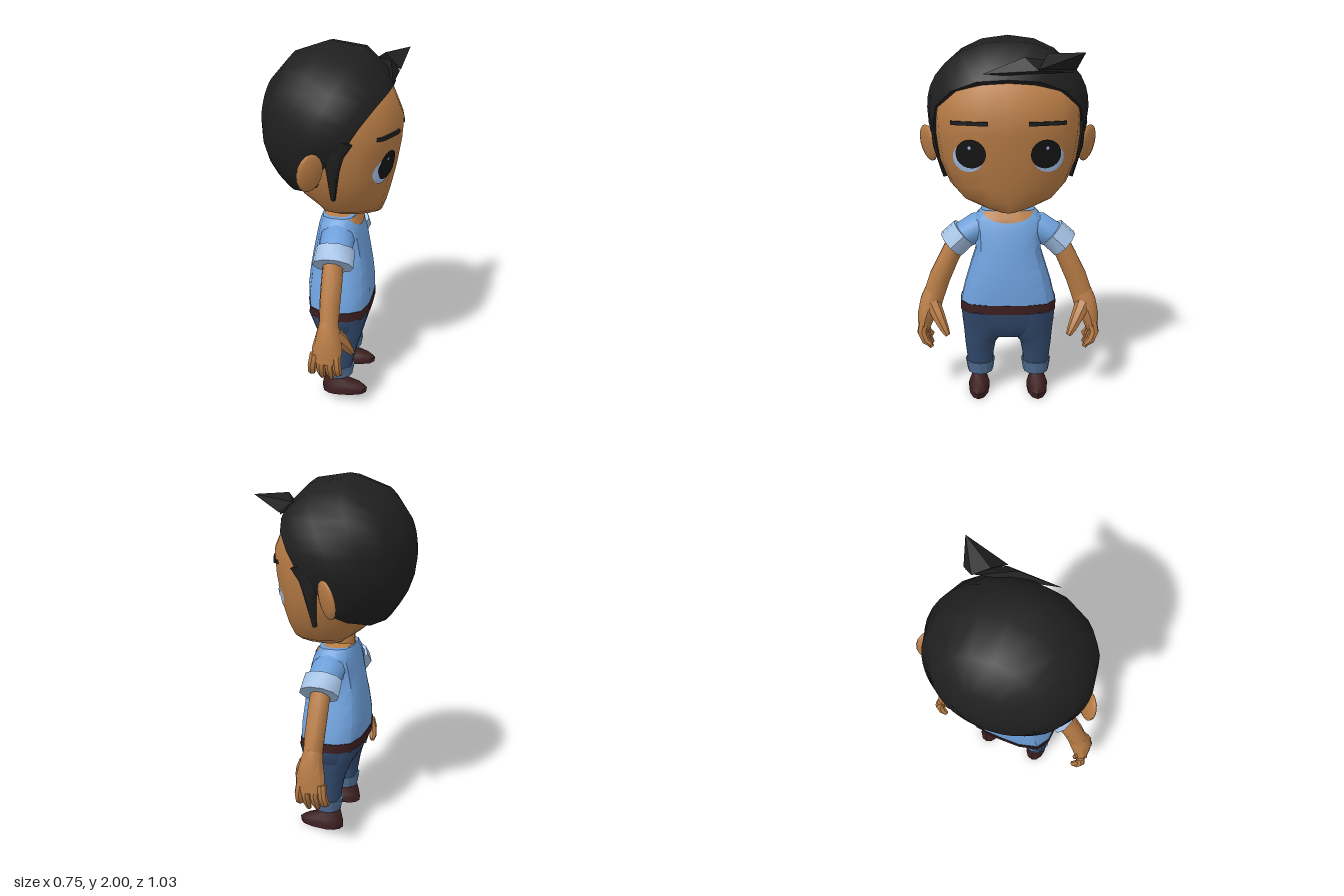
import * as THREE from 'three';
import { toCreasedNormals } from 'three/addons/utils/BufferGeometryUtils.js';
import { ConvexGeometry } from 'three/addons/geometries/ConvexGeometry.js';

const V = (x, y, z) => new THREE.Vector3(x, y, z);
const paint = (name, color, side = THREE.FrontSide) => {
  const m = new THREE.MeshStandardMaterial({ color, side });
  m.name = name;
  return m;
};

// Skin a list of closed rings and cap both ends
function loft(rings, crease = 0.75) {
  const n = rings[0].length, pos = [], idx = [];
  rings.forEach(r => r.forEach(p => pos.push(p.x, p.y, p.z)));
  for (let i = 0; i < rings.length - 1; i++) for (let j = 0; j < n; j++) {
    const a = i * n + j, b = i * n + (j + 1) % n;
    idx.push(a, b, b + n, a, b + n, a + n);
  }
  [0, rings.length - 1].forEach(i => {
    const c = rings[i].reduce((s, p) => s.add(p), V(0, 0, 0)).divideScalar(n);
    const k = pos.length / 3;
    pos.push(c.x, c.y, c.z);
    for (let j = 0; j < n; j++) {
      const a = i * n + j, b = i * n + (j + 1) % n;
      if (i) idx.push(a, b, k); else idx.push(b, a, k);
    }
  });
  const g = new THREE.BufferGeometry();
  g.setAttribute('position', new THREE.Float32BufferAttribute(pos, 3));
  g.setIndex(idx);
  return toCreasedNormals(g, crease);
}

// Half outlines seen from above, front to back, in units of width and depth
const superPlan = (p, n) => Array.from({ length: n + 1 }, (_, i) => {
  const a = Math.PI * i / n, s = Math.sin(a), c = Math.cos(a);
  const k = (Math.abs(s) ** p + Math.abs(c) ** p) ** (-1 / p);
  return [i === n ? 0 : s * k, c * k];
});
const headPlan = [[0, 1], [0.35, 0.93], [0.7, 0.76], [0.92, 0.45], [1, 0.08], [0.92, -0.4], [0.6, -0.8], [0, -1]];
const bodyPlan = superPlan(3.4, 8);
const legPlan = superPlan(2.6, 8);
const roundPlan = superPlan(2, 6);
const ZC = 0.05;
const depth = (v, f, b) => ZC + v * (v > 0 ? f - ZC : ZC - b);

// Stack of outlines; each row is height, half width, front z, back z, centre x
function stack(rows, plan, crease) {
  return loft(rows.map(([y, w, f, b, cx = 0]) => {
    const half = plan.map(([u, v]) => V(cx + u * w, y, depth(v, f, b)));
    const other = plan.slice(1, -1).reverse().map(([u, v]) => V(cx - u * w, y, depth(v, f, b)));
    return [...half, ...other];
  }), crease);
}

// Limb along points [x, y, z, radius across, radius along z]
function limb(points, sides = 10) {
  const P = points.map(p => V(p[0], p[1], p[2]));
  return loft(P.map((p, i) => {
    const t = P[Math.min(i + 1, P.length - 1)].clone().sub(P[Math.max(i - 1, 0)]).normalize();
    const v = t.clone().cross(V(0, 0, 1)).normalize(), u = v.clone().cross(t);
    const [, , , rx, rz = rx] = points[i];
    return Array.from({ length: sides }, (_, j) => {
      const a = 2 * Math.PI * j / sides;
      return p.clone().addScaledVector(u, Math.cos(a) * rz).addScaledVector(v, Math.sin(a) * rx);
    });
  }));
}

// Push a flat detail onto the front of a stack
function drape(geo, rows, plan, off) {
  const p = geo.attributes.position;
  for (let i = 0; i < p.count; i++) {
    const x = p.getX(i), y = p.getY(i);
    let k = 0;
    while (k < rows.length - 2 && rows[k + 1][0] < y) k++;
    const t = (y - rows[k][0]) / (rows[k + 1][0] - rows[k][0]);
    const [, w, f, b] = rows[k].map((q, j) => q + (rows[k + 1][j] - q) * t);
    const u = Math.abs(x) / w;
    let m = 0;
    while (plan[m + 1][0] < u && plan[m + 2][0] > plan[m + 1][0]) m++;
    const s = (u - plan[m][0]) / (plan[m + 1][0] - plan[m][0]);
    p.setZ(i, p.getZ(i) + off + depth(plan[m][1] + (plan[m + 1][1] - plan[m][1]) * s, f, b));
  }
  geo.computeVertexNormals();
  return geo;
}

const headRows = [[1.085, 0.08, 0.262, 0], [1.105, 0.16, 0.272, -0.02], [1.145, 0.25, 0.288, -0.08], [1.22, 0.315, 0.31, -0.17],
  [1.35, 0.37, 0.34, -0.25], [1.5, 0.395, 0.365, -0.3], [1.62, 0.4, 0.373, -0.3], [1.75, 0.37, 0.315, -0.28], [1.85, 0.25, 0.2, -0.2]];
const shirtRows = [[0.55, 0.265, 0.225, -0.125], [0.65, 0.242, 0.225, -0.13], [0.75, 0.212, 0.215, -0.12], [0.85, 0.18, 0.2, -0.105],
  [0.95, 0.185, 0.18, -0.085], [1.02, 0.19, 0.155, -0.07], [1.068, 0.148, 0.13, -0.055]];

// Hair shell: rings run from the hairline to the back of the skull
function hairShell() {
  const half = [[0, 1.78, 0.315], [0.16, 1.77, 0.305], [0.295, 1.72, 0.258], [0.375, 1.64, 0.195], [0.4, 1.54, 0.13], [0.405, 1.48, 0.06],
    [0.39, 1.4, 0], [0.365, 1.32, -0.02], [0.3, 1.27, -0.1], [0.17, 1.23, -0.19], [0, 1.22, -0.23]].map(p => V(p[0], p[1] - 1.58, p[2]));
  const fine = half.flatMap((p, i) => i < half.length - 1 ? [p, p.clone().lerp(half[i + 1], 0.5)] : [p]);
  const line = [...fine, ...fine.slice(1, -1).reverse().map(p => V(-p.x, p.y, p.z))];
  const e = 2.1, pole = V(0, 0.1, -1).normalize();
  const radius = d => (Math.abs(d.x / 0.445) ** e + Math.abs(d.y / 0.42) ** e + Math.abs(d.z / (d.z > 0 ? 0.4 : 0.38)) ** e) ** (-1 / e);
  return loft([0, 0.08, 0.25, 0.43, 0.62, 0.8, 0.94].map(t => line.map(p => {
    const d = p.clone().normalize(), k = p.length() / radius(d), a = d.angleTo(pole);
    const q = d.clone().multiplyScalar(Math.sin((1 - t) * a)).addScaledVector(pole, Math.sin(t * a)).normalize();
    const r = radius(q) * (1 - (1 - k) * Math.max(0, 1 - t / 0.2));
    return q.multiplyScalar(r).add(V(0, 1.58, 0));
  })), 1);
}

export function createModel() {
  const skin = paint('skin', 0xb87c46), hair = paint('hair', 0x1f1f1f, THREE.DoubleSide);
  const shirt = paint('shirt blue', 0x6d9fda), trim = paint('sleeve trim', 0xa3c0e2);
  const denim = paint('denim', 0x324a6d), turnUp = paint('denim turn-up', 0x4f6d92);
  const leather = paint('leather', 0x3c1e20), white = paint('eye white', 0xa9c6ee), black = paint('pupil black', 0x151515);

  const model = new THREE.Group();
  const add = (parent, name, geo, mat) => {
    const m = new THREE.Mesh(geo, mat);
    m.name = name;
    parent.add(m);
    return m;
  };

  // Head, neck and hair
  add(model, 'head', stack(headRows, headPlan, 0.9), skin);
  add(model, 'neck', new THREE.CylinderGeometry(0.068, 0.068, 0.15, 12).translate(0, 1.1, 0.015), skin);
  add(model, 'hair', hairShell(), hair);
  add(model, 'fringe', new ConvexGeometry([V(-0.13, 1.81, 0.325), V(0.34, 1.815, 0.235), V(0.15, 1.825, 0.325),
    V(0.08, 1.89, 0.285), V(0.26, 1.87, 0.2), V(0, 1.8, 0.3)]), hair);
  add(model, 'hairTuft', new ConvexGeometry([V(0.15, 1.83, 0.33), V(0.345, 1.825, 0.24), V(0.28, 1.87, 0.19),
    V(0.2, 1.91, 0.24), V(0.38, 1.915, 0.355)]), hair);

  // Torso and hips
  add(model, 'shirt', stack(shirtRows, bodyPlan), shirt);
  add(model, 'collarSkin', stack([[1.06, 0.138, 0.124, -0.05], [1.082, 0.07, 0.08, -0.04]], bodyPlan), skin);
  add(model, 'neckline', drape(new THREE.RingGeometry(0.005, 0.138, 16, 5, Math.PI, Math.PI).scale(1, 0.44, 1).translate(0, 1.068, 0),
    shirtRows, bodyPlan, 0.005), skin);
  add(model, 'belt', stack([[0.505, 0.268, 0.228, -0.125], [0.557, 0.268, 0.229, -0.13]], bodyPlan), leather);
  add(model, 'hips', stack([[0.35, 0.11, 0.165, -0.035], [0.38, 0.2, 0.187, -0.06], [0.43, 0.258, 0.205, -0.09], [0.51, 0.264, 0.224, -0.12]],
    bodyPlan, 1), denim);

  // Everything that comes in pairs
  ['left', 'right'].forEach((name, i) => {
    const side = new THREE.Group();
    side.name = name + 'Side';
    side.scale.x = i ? -1 : 1;
    model.add(side);

    // Face details
    const disc = (x, y, rx, ry, off) => drape(new THREE.RingGeometry(0.001, 1, 24, 6).scale(rx, ry, 1).translate(x, y, 0), headRows, headPlan, off);
    add(side, 'eyeWhite', disc(0.207, 1.388, 0.08, 0.077, 0.004), white);
    add(side, 'pupil', disc(0.193, 1.408, 0.079, 0.076, 0.008), black);
    add(side, 'eyeGlint', disc(0.2, 1.44, 0.008, 0.009, 0.011), white);
    add(side, 'eyebrow', drape(new THREE.BoxGeometry(0.195, 0.02, 0.018, 8, 1, 1).translate(0.2, 1.565, 0), headRows, headPlan, 0.004), hair);
    const ear = add(side, 'ear', new THREE.SphereGeometry(1, 10, 8).scale(0.022, 0.105, 0.074), skin);
    ear.position.set(0.438, 1.418, -0.04);
    ear.rotation.set(0, -0.7, -0.2);
    add(side, 'sideburn', limb([[0.395, 1.58, 0.09, 0.02, 0.08], [0.393, 1.5, 0.068, 0.02, 0.055], [0.386, 1.42, 0.066, 0.02, 0.034],
      [0.342, 1.25, 0.06, 0.012, 0.012]], 8), hair);

    // Arm and hand
    add(side, 'sleeve', limb([[0.08, 0.975, 0.045, 0.08, 0.085], [0.17, 0.957, 0.048, 0.087, 0.095], [0.27, 0.905, 0.05, 0.073, 0.09]], 12), shirt);
    add(side, 'sleeveCuff', limb([[0.242, 0.932, 0.052, 0.084, 0.108], [0.315, 0.865, 0.052, 0.086, 0.112]], 10), trim);
    add(side, 'arm', limb([[0.27, 0.91, 0.05, 0.055], [0.33, 0.79, 0.05, 0.058], [0.385, 0.67, 0.05, 0.062, 0.056],
      [0.417, 0.575, 0.05, 0.062, 0.053]], 10), skin);
    add(side, 'palm', limb([[0.414, 0.585, 0.05, 0.062, 0.052], [0.435, 0.53, 0.052, 0.066, 0.064], [0.464, 0.45, 0.052, 0.052, 0.082],
      [0.48, 0.37, 0.045, 0.034, 0.078]], 10), skin);
    [[-0.015, -0.035, 0.29], [0.025, 0.02, 0.26], [0.068, 0.07, 0.255], [0.1, 0.115, 0.285]].forEach(([z0, z1, tip]) =>
      add(side, 'finger', limb([[0.475, 0.42, z0, 0.03, 0.026], [0.488, 0.36, (z0 + z1) / 2, 0.028, 0.025],
        [0.468, 0.31, z0 * 0.2 + z1 * 0.8, 0.024], [0.438, tip, z1, 0.014]], 7), skin));
    add(side, 'thumb', limb([[0.425, 0.52, 0.08, 0.045], [0.387, 0.45, 0.125, 0.036], [0.357, 0.395, 0.152, 0.026], [0.338, 0.362, 0.165, 0.015]], 7), skin);

    // Leg and shoe
    add(side, 'trouserLeg', stack([[0.16, 0.073, 0.135, -0.015, 0.16], [0.22, 0.077, 0.145, -0.02, 0.16], [0.3, 0.089, 0.165, -0.035, 0.157],
      [0.335, 0.103, 0.175, -0.045, 0.146], [0.355, 0.122, 0.181, -0.052, 0.129], [0.42, 0.127, 0.2, -0.08, 0.13],
      [0.51, 0.13, 0.222, -0.115, 0.132]], legPlan, 1), denim);
    add(side, 'trouserCuff', stack([[0.112, 0.073, 0.137, -0.018, 0.16], [0.182, 0.084, 0.15, -0.032, 0.16]], roundPlan, 0.5), turnUp);
    add(side, 'shoe', stack([[0, 0.06, 0.222, -0.034, 0.167], [0.03, 0.06, 0.226, -0.036, 0.167], [0.053, 0.052, 0.195, -0.032, 0.167],
      [0.075, 0.044, 0.13, -0.028, 0.167], [0.12, 0.034, 0.075, -0.018, 0.165]], roundPlan), leather);
  });

  // The figure looks along +x
  model.rotation.y = Math.PI / 2;
  const root = new THREE.Group();
  root.name = 'figure';
  root.add(model);
  return root;
}
